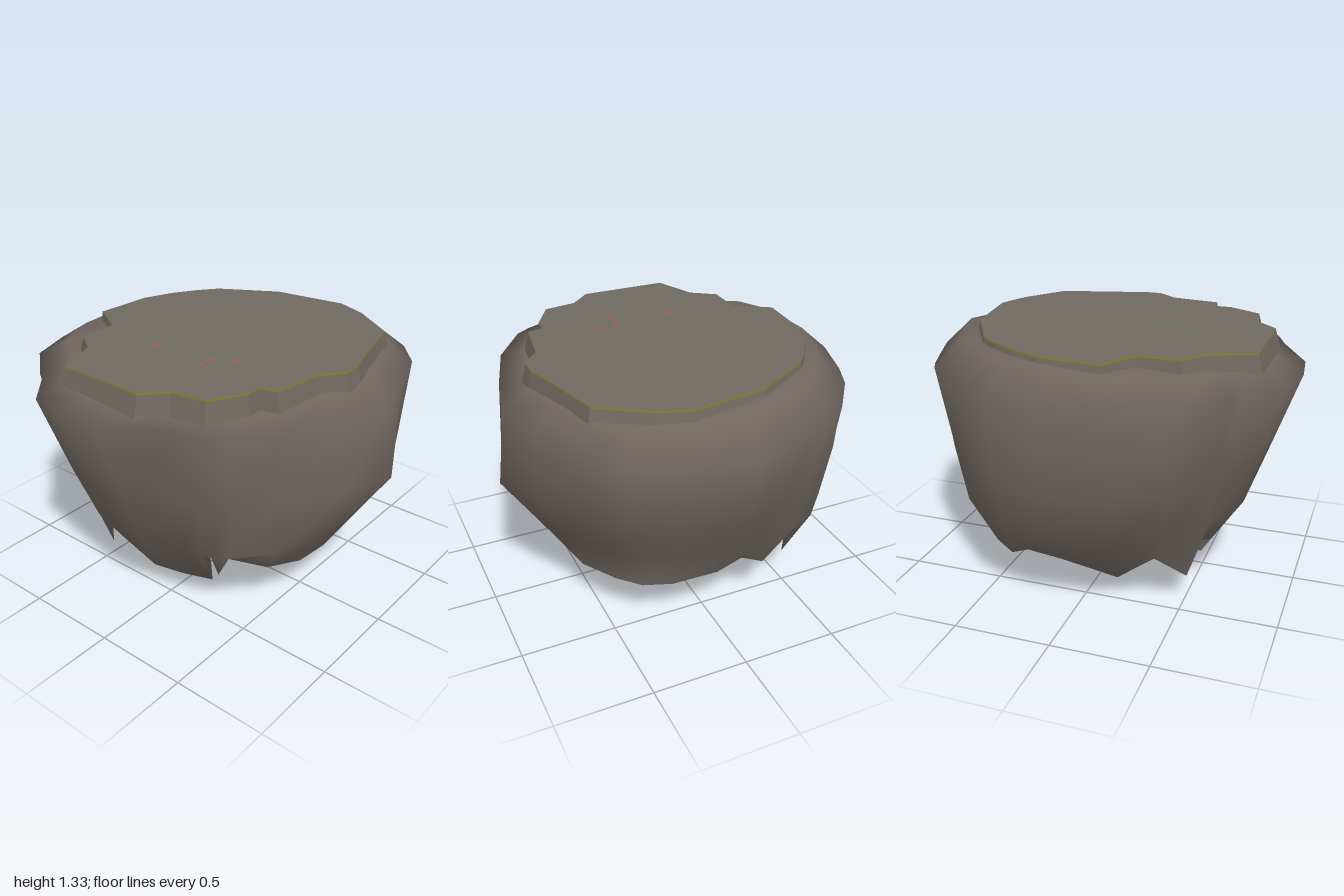
import * as THREE from 'three';

function makeMaterial(name, color) {
  const material = new THREE.MeshStandardMaterial({ color, side: THREE.DoubleSide });
  material.name = name;
  return material;
}
const rock = makeMaterial('warm grey rock', 0x6f665f);
const slab = makeMaterial('grey slab', 0x6e6960);
const olive = makeMaterial('olive edge', 0x8a8820);
const red = makeMaterial('red fleck', 0xc4504f);

// Columns around the rock: angle from front (degrees), shoulder radius, bottom radius, bottom height
const COLUMNS = [
  [7, 0.89, 0.6, 0.25], [24, 0.89, 0.63, 0.27], [44, 0.97, 0.66, 0.29],
  [57, 1.01, 0.68, 0.29], [70, 0.95, 0.65, 0.28], [91, 1.0, 0.65, 0.31],
  [104, 0.95, 0.65, 0.34], [116, 0.945, 0.68, 0.26], [121, 0.945, 0.76, 0.45],
  [133, 0.94, 0.7, 0.21], [148, 0.93, 0.7, 0.22], [158, 0.92, 0.69, 0.28],
  [174, 0.93, 0.66, 0.27], [199, 0.977, 0.54, 0.13], [214, 1.0, 0.69, 0.31],
  [231, 0.96, 0.66, 0.15], [235, 0.955, 0.66, 0.33], [248, 1.03, 0.64, 0.29],
  [259, 1.01, 0.52, 0.13], [271, 0.97, 0.41, 0.065], [292, 0.88, 0.31, 0],
  [298, 0.89, 0.5, 0.3], [303, 0.9, 0.52, 0.2], [309, 0.905, 0.68, 0.42],
  [327, 0.87, 0.63, 0.31], [348, 0.84, 0.59, 0.25],
];

// Outline of the slab where it meets the rock, as x, z
const OUTLINE = [
  [-0.18, -0.76], [0.13, -0.74], [0.3, -0.67], [0.43, -0.59], [0.53, -0.51], [0.71, -0.2],
  [0.77, 0.2], [0.71, 0.37], [0.55, 0.61], [0.24, 0.69], [0.08, 0.74], [-0.02, 0.74],
  [-0.13, 0.65], [-0.4, 0.61], [-0.42, 0.52], [-0.5, 0.52], [-0.68, 0.42], [-0.71, 0.24],
  [-0.82, 0.13], [-0.82, -0.35], [-0.59, -0.44], [-0.5, -0.57], [-0.29, -0.57],
];
const TOP_Y = 1.33;
const TOP_SCALE = 0.975;
const TRIM = 0.008;

// Red flecks on the slab: x, z, width, depth
const FLECKS = [
  [-0.34, -0.182, 0.12, 0.008], [-0.34, 0.14, 0.12, 0.008], [-0.4, -0.08, 0.006, 0.03],
  [-0.25, -0.062, 0.02, 0.008], [-0.245, 0.24, 0.008, 0.05], [-0.28, 0.262, 0.03, 0.008],
];

function indexedGeometry(points, index) {
  const geometry = new THREE.BufferGeometry();
  geometry.setAttribute('position', new THREE.Float32BufferAttribute(points.flat(), 3));
  geometry.setIndex(index);
  return geometry;
}

// Points from the rim down to the broken edge
function columnProfile([deg, shoulder, bottomR, bottomY]) {
  const t = THREE.MathUtils.degToRad(deg);
  const s = Math.sin(t), c = Math.cos(t), c2 = Math.cos(2 * t);
  const rimY = 1.263 + 0.027 * s - 0.025 * c + 0.008 * c2;
  const prow = 0.055 * (1 - Math.cos(4 * t)) * Math.max(c, 0);
  const belt = shoulder * (0.955 + 0.035 * (c + s) + 0.07 * c2 - prow);
  const bulge = 0.045 - 0.045 * c - 0.02 * s + 0.02 * c2 + 0.075 * Math.cos(t - 2.36) ** 6;
  const low = THREE.MathUtils.lerp(belt, 0.58, 0.6) + bulge;
  return [
    [shoulder * 0.62, rimY], [shoulder * 0.84, rimY], [shoulder, 1.17 - 0.035 * s],
    [belt, 0.78], [low, 0.48], [bottomR, bottomY],
  ].map(([r, y]) => [r * s, y, r * c]);
}

// Hollow shell with a jagged, open underside
function rockShell() {
  const profiles = COLUMNS.map(columnProfile);
  const rings = profiles[0].length, n = profiles.length;
  const index = [];
  for (let j = 0; j < n; j++) {
    for (let i = 0; i < rings - 1; i++) {
      const a = j * rings + i, b = ((j + 1) % n) * rings + i;
      index.push(a, a + 1, b, b, a + 1, b + 1);
    }
  }
  const geometry = indexedGeometry(profiles.flat(), index);
  geometry.computeVertexNormals();
  return geometry;
}

// Faceted band around the slab between two heights
function outlineBand(topScale, topY, bottomScale, bottomY) {
  const n = OUTLINE.length;
  const ring = (scale, y) => OUTLINE.map(([x, z]) => [x * scale, y, z * scale]);
  const index = [];
  for (let a = 0; a < n; a++) {
    const b = (a + 1) % n;
    index.push(a, b, a + n, b, b + n, a + n);
  }
  const points = [...ring(topScale, topY), ...ring(bottomScale, bottomY)];
  const geometry = indexedGeometry(points, index).toNonIndexed();
  geometry.computeVertexNormals();
  return geometry;
}

// Flat face of the slab
function slabFace() {
  const corners = OUTLINE.map(([x, z]) => new THREE.Vector2(x * TOP_SCALE, -z * TOP_SCALE));
  return new THREE.ShapeGeometry(new THREE.Shape(corners)).rotateX(-Math.PI / 2).translate(0, TOP_Y, 0);
}

export function createModel() {
  const group = new THREE.Group();
  group.name = 'brokenRock';
  const add = (name, geometry, material) => {
    const mesh = new THREE.Mesh(geometry, material);
    mesh.name = name;
    group.add(mesh);
  };
  add('rockShell', rockShell(), rock);
  add('slabFace', slabFace(), slab);
  add('slabEdge', outlineBand(TOP_SCALE, TOP_Y - TRIM, 1.02, 1.2), slab);
  add('slabTrim', outlineBand(TOP_SCALE, TOP_Y, TOP_SCALE, TOP_Y - TRIM), olive);
  FLECKS.forEach(([x, z, w, d], i) => {
    const fleck = new THREE.PlaneGeometry(w, d).rotateX(-Math.PI / 2).translate(x, TOP_Y + 0.002, z);
    add(`fleck${i + 1}`, fleck, red);
  });
  return group;
}
